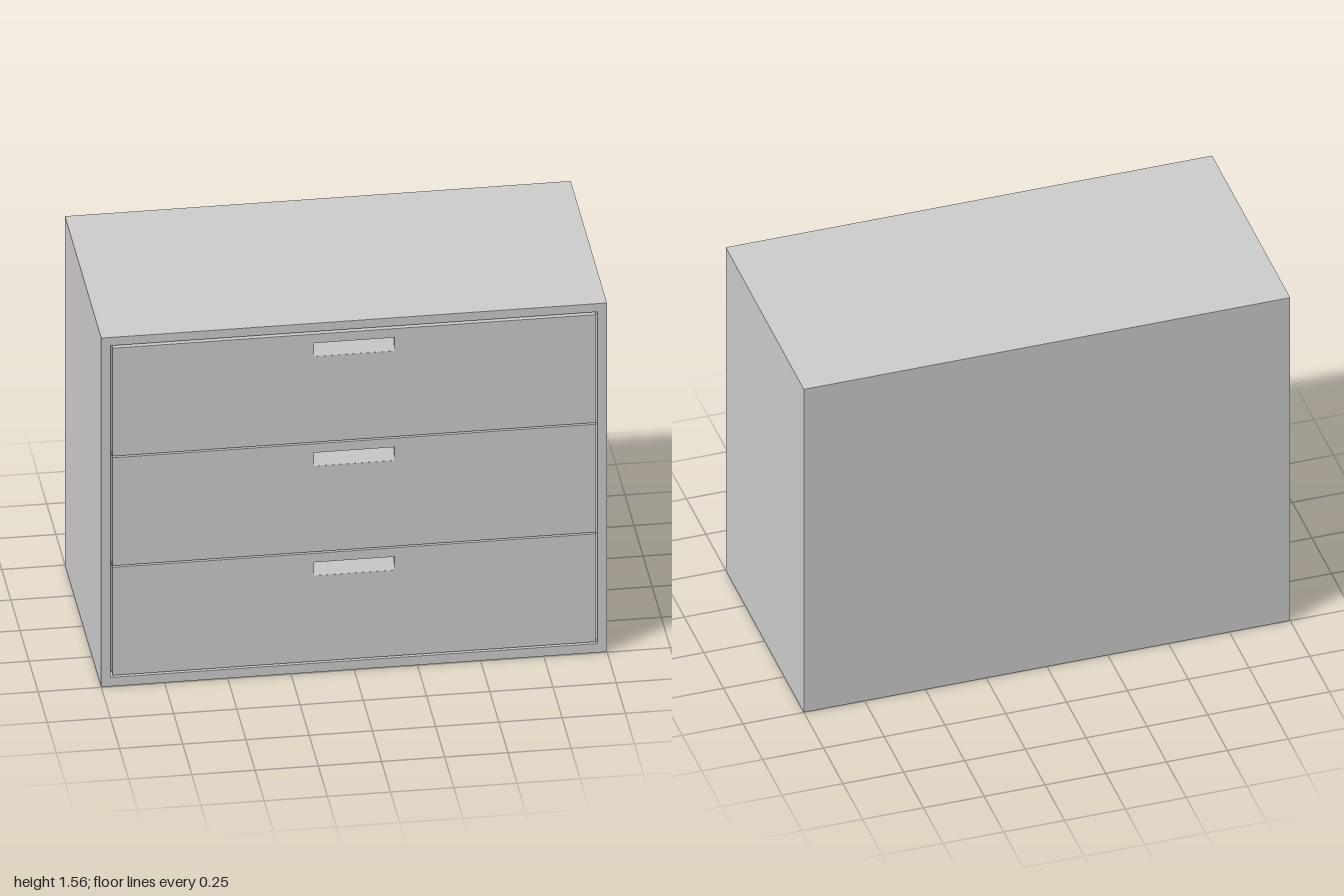
import * as THREE from 'three';

const material = new THREE.MeshStandardMaterial({ color: 0xcccccc, flatShading: true });

function rect(path, x0, y0, x1, y1) {
  path.moveTo(x0, y0);
  path.lineTo(x1, y0);
  path.lineTo(x1, y1);
  path.lineTo(x0, y1);
  path.closePath();
  return path;
}

function extrude(shape, depth) {
  return new THREE.ExtrudeGeometry(shape, { depth, bevelEnabled: false });
}

function part(name, geometry) {
  const mesh = new THREE.Mesh(geometry, material);
  mesh.name = name;
  return mesh;
}

const HEIGHT = 1.56, BACK = -0.5, CORE_FRONT = 0.45, RIM_FRONT = 0.497, DRAWER_FRONT = 0.5;

// Drawer front with a cut-out pull whose back slopes away towards the top
function createDrawer(bottom, top) {
  const drawer = new THREE.Group();
  const pullTop = top - 0.04, pullBottom = top - 0.1, half = 0.16;

  const face = rect(new THREE.Shape(), -0.955, bottom, 0.955, top);
  face.holes.push(rect(new THREE.Path(), -half, pullBottom, half, pullTop));
  const panel = part('drawerFront', extrude(face, DRAWER_FRONT - CORE_FRONT));
  panel.position.z = CORE_FRONT;

  // Wedge profile drawn in (z, y), then turned to run along x
  const profile = new THREE.Shape();
  profile.moveTo(CORE_FRONT, pullBottom);
  profile.lineTo(DRAWER_FRONT - 0.001, pullBottom);
  profile.lineTo(DRAWER_FRONT - 0.04, pullTop);
  profile.lineTo(CORE_FRONT, pullTop);
  profile.closePath();
  const wedge = extrude(profile, half * 2).rotateY(-Math.PI / 2).translate(half, 0, 0);

  drawer.add(panel, part('handleRecess', wedge));
  return drawer;
}

export function createModel() {
  const cabinet = new THREE.Group();
  cabinet.name = 'drawerCabinet';

  // Carcass: solid body and the rim around the drawers
  const depth = CORE_FRONT - BACK;
  const body = part('body', new THREE.BoxGeometry(2, HEIGHT, depth));
  body.position.set(0, HEIGHT / 2, BACK + depth / 2);
  const rimShape = rect(new THREE.Shape(), -1, 0, 1, HEIGHT);
  rimShape.holes.push(rect(new THREE.Path(), -0.963, 0.04, 0.963, 1.523));
  const rim = part('frontRim', extrude(rimShape, RIM_FRONT - CORE_FRONT));
  rim.position.z = CORE_FRONT;
  cabinet.add(body, rim);

  // Three equal drawers with narrow gaps
  ['lowerDrawer', 'middleDrawer', 'upperDrawer'].forEach((name, i) => {
    const bottom = 0.05 + i * 0.49;
    const drawer = createDrawer(bottom, bottom + 0.483);
    drawer.name = name;
    cabinet.add(drawer);
  });

  return cabinet;
}
